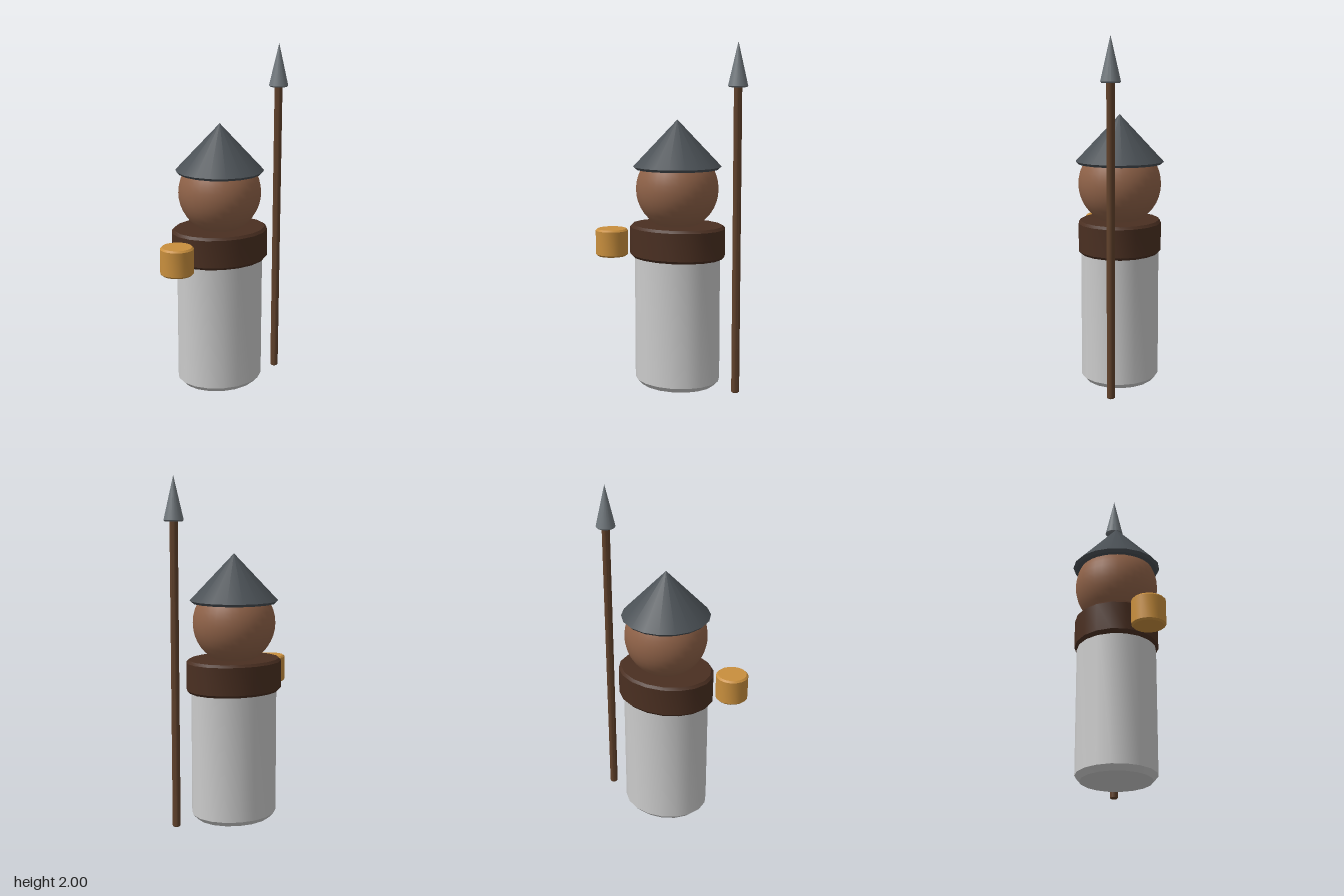
import * as THREE from 'three';
import { toCreasedNormals } from 'three/addons/utils/BufferGeometryUtils.js';

const CX = 0.002, CZ = -0.002; // axis of the figure

export function createModel() {
  const model = new THREE.Group();
  model.name = 'spearGuard';

  const add = (name, geometry, color, x, y, z) => {
    const mesh = new THREE.Mesh(geometry, new THREE.MeshStandardMaterial({ color }));
    mesh.name = name;
    mesh.position.set(x, y, z);
    model.add(mesh);
    return mesh;
  };

  // Closed turned solid from [radius, height] pairs, bottom to top
  const turned = (profile, sides = 18, depth = 1) => {
    const points = profile.map(([r, y]) => new THREE.Vector2(r, y));
    const geometry = new THREE.LatheGeometry(points, sides).scale(1, 1, depth);
    return toCreasedNormals(geometry, 0.6);
  };

  // Solid cylinder with chamfered rims
  const drum = (r, h, bevel, sides, depth) => turned([
    [0, 0], [r - bevel, 0], [r, bevel], [r, h - bevel], [r - bevel, h], [0, h],
  ], sides, depth);

  // Cone with a chamfered base rim
  const cone = (r, h, bevel, sides) => turned([
    [0, 0], [r - bevel, 0], [r, bevel], [0, h],
  ], sides);

  // Figure
  add('body', drum(0.257, 0.85, 0.03, 18, 0.885), 0xcccccc, CX, 0.005, CZ);
  add('collar', drum(0.29, 0.19, 0.015, 18, 0.83), 0x4a2f21, CX, 0.765, CZ);
  add('head', new THREE.SphereGeometry(0.24, 32, 20), 0x8f6248, CX, 1.165, CZ);
  add('hat', cone(0.256, 0.285, 0.015, 18), 0x4a5055, CX, 1.28, CZ);

  // Cup held at the right
  add('cup', drum(0.095, 0.16, 0.01, 18), 0xc98f3d, -0.351, 0.765, 0.159);

  // Spear at the left
  add('spearShaft', drum(0.023, 1.76, 0.005, 12), 0x60412b, 0.389, 0.005, CZ);
  add('spearHead', cone(0.056, 0.25, 0.007, 18), 0x70777c, 0.389, 1.75, CZ);

  return model;
}
